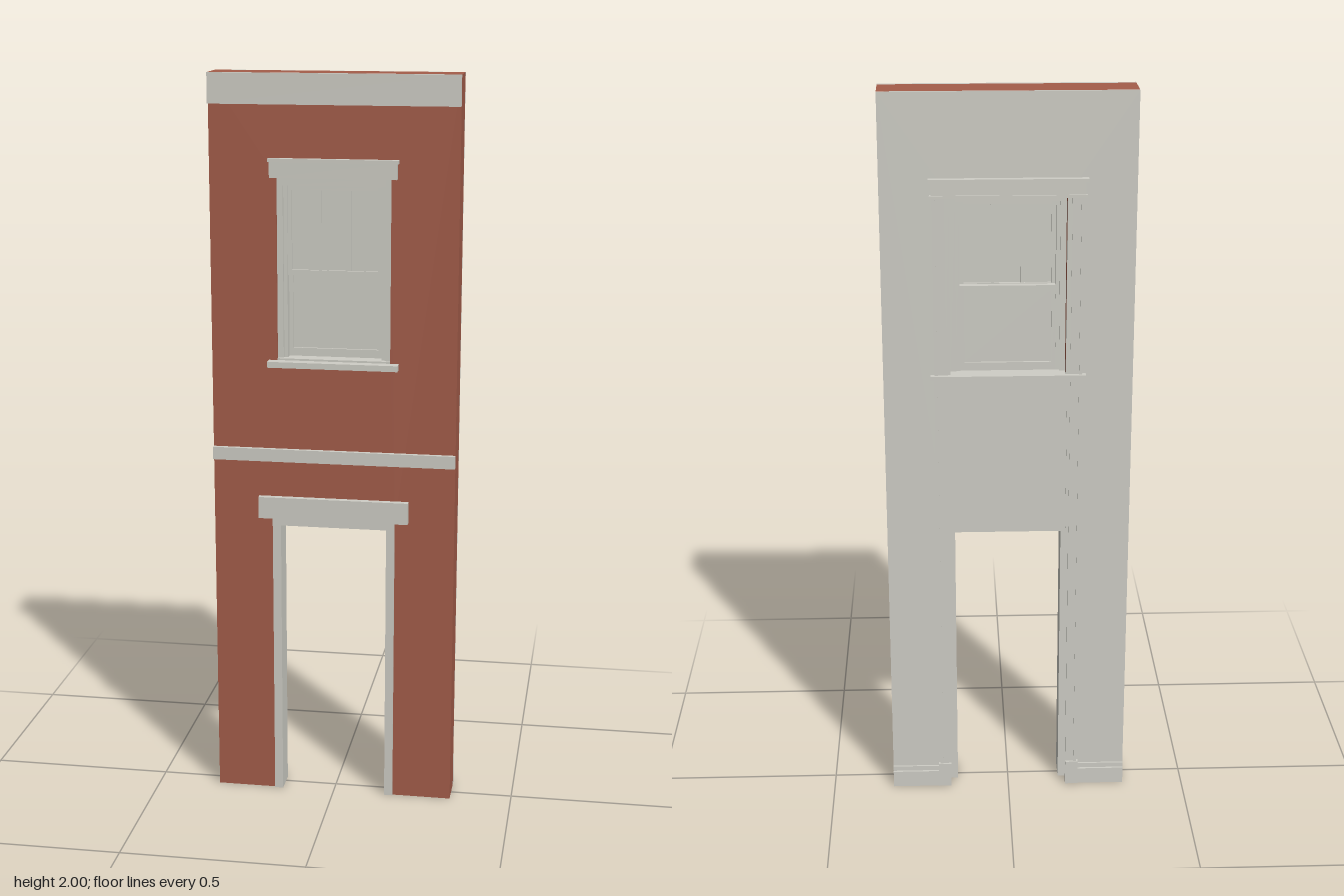
import * as THREE from 'three';

export function createModel() {
  const model = new THREE.Group();
  const brick = new THREE.MeshStandardMaterial({ color: 0xa45d4a });
  brick.name = 'brick red';
  const stone = new THREE.MeshStandardMaterial({ color: 0xcfcec6 });
  stone.name = 'pale grey';

  // Box given by its limits on each axis
  function box(name, x0, x1, y0, y1, z0, z1, parent = model) {
    const mesh = new THREE.Mesh(new THREE.BoxGeometry(x1 - x0, y1 - y0, z1 - z0), stone);
    mesh.position.set((x0 + x1) / 2, (y0 + y1) / 2, (z0 + z1) / 2);
    mesh.name = name;
    parent.add(mesh);
    return mesh;
  }
  // Mirrored pair of boxes
  function pair(name, x0, x1, y0, y1, z0, z1, parent = model) {
    box(name + 'Left', x0, x1, y0, y1, z0, z1, parent);
    box(name + 'Right', -x1, -x0, y0, y1, z0, z1, parent);
  }
  function group(name) {
    const g = new THREE.Group();
    g.name = name;
    model.add(g);
    return g;
  }

  // Wall sheet with a doorway notch and a window hole
  const W = 0.33, D = 0.168, doorTop = 0.805;
  const win = { x: 0.152, y0: 1.24, y1: 1.735 };
  function sheet(name, z0, z1, material) {
    const s = new THREE.Shape([
      [-W, 0], [-D, 0], [-D, doorTop], [D, doorTop], [D, 0], [W, 0], [W, 2], [-W, 2],
    ].map(([x, y]) => new THREE.Vector2(x, y)));
    s.holes.push(new THREE.Path([
      [-win.x, win.y0], [-win.x, win.y1], [win.x, win.y1], [win.x, win.y0],
    ].map(([x, y]) => new THREE.Vector2(x, y))));
    const geo = new THREE.ExtrudeGeometry(s, { depth: z1 - z0, bevelEnabled: false });
    const mesh = new THREE.Mesh(geo, material);
    mesh.position.z = z0;
    mesh.name = name;
    model.add(mesh);
  }
  sheet('brickWall', -0.049, 0.043, brick);
  sheet('plasterLining', -0.055, -0.049, stone);

  // Front stone bands and lintels
  box('corniceBand', -W, W, 1.92, 2, 0.043, 0.055);
  box('stringCourse', -W, W, 0.965, 1, 0.043, 0.055);
  box('doorLintel', -0.205, 0.205, 0.805, 0.865, 0.04, 0.06);
  box('windowLintel', -0.168, 0.168, 1.732, 1.775, 0.04, 0.057);
  box('windowLintelCap', -0.172, 0.172, 1.773, 1.782, 0.04, 0.06);

  // Door frame
  const door = group('doorFrame');
  pair('doorJamb', 0.145, D, 0, doorTop, -0.025, 0.048, door);
  box('doorHead', -0.145, 0.145, 0.783, doorTop, -0.025, 0.048, door);

  // Window frame and sill
  const window_ = group('window');
  box('windowSill', -0.175, 0.175, 1.229, 1.245, 0.03, 0.07, window_);
  box('sillBed', -win.x, win.x, 1.232, 1.25, -0.05, 0.043, window_);
  pair('windowJamb', 0.136, win.x, 1.245, win.y1, -0.022, 0.035, window_);
  pair('windowStop', 0.126, 0.137, 1.25, 1.72, -0.016, 0.026, window_);
  box('windowHead', -0.136, 0.136, 1.71, win.y1, -0.022, 0.035, window_);

  // One sash: stiles, rails and pane
  function sash(name, y0, y1, z0, z1, rail) {
    const g = new THREE.Group();
    g.name = name;
    window_.add(g);
    pair('stile', 0.115, 0.127, y0, y1, z0, z1, g);
    box('bottomRail', -0.115, 0.115, y0, y0 + rail, z0, z1, g);
    box('topRail', -0.115, 0.115, y1 - 0.013, y1, z0, z1, g);
    const mid = (z0 + z1) / 2;
    box('pane', -0.115, 0.115, y0 + rail, y1 - 0.013, mid - 0.002, mid + 0.002, g);
    return g;
  }
  const upper = sash('upperSash', 1.472, 1.71, 0.003, 0.021, 0.014);
  sash('lowerSash', 1.25, 1.484, -0.014, 0.003, 0.022);
  pair('glazingBar', 0.035, 0.043, 1.486, 1.697, 0.005, 0.019, upper);

  // Inside trim: casings run from the window head down to the floor
  const trim = group('insideTrim');
  pair('casing', 0.164, 0.194, 0, 1.735, -0.061, -0.053, trim);
  pair('casingEdge', 0.187, 0.195, 0, 1.735, -0.064, -0.053, trim);
  pair('windowReveal', win.x, 0.166, 1.25, 1.735, -0.058, -0.053, trim);
  box('headCasing', -0.198, 0.198, 1.733, 1.772, -0.063, -0.053, trim);
  box('headCap', -0.205, 0.205, 1.77, 1.78, -0.072, -0.053, trim);
  box('headBead', -0.202, 0.202, 1.73, 1.737, -0.067, -0.053, trim);
  box('windowStool', -0.205, 0.205, 1.243, 1.253, -0.072, -0.045, trim);
  box('apron', -0.164, 0.164, 1.208, 1.243, -0.059, -0.053, trim);
  pair('panelBead', 0.156, 0.164, doorTop, 1.208, -0.058, -0.053, trim);

  // Skirting and plinth blocks
  pair('plinth', 0.164, 0.2, 0, 0.072, -0.068, -0.053, trim);
  pair('skirting', 0.2, W, 0, 0.048, -0.066, -0.053, trim);
  pair('skirtingCap', 0.2, W, 0.048, 0.062, -0.06, -0.053, trim);

  return model;
}
